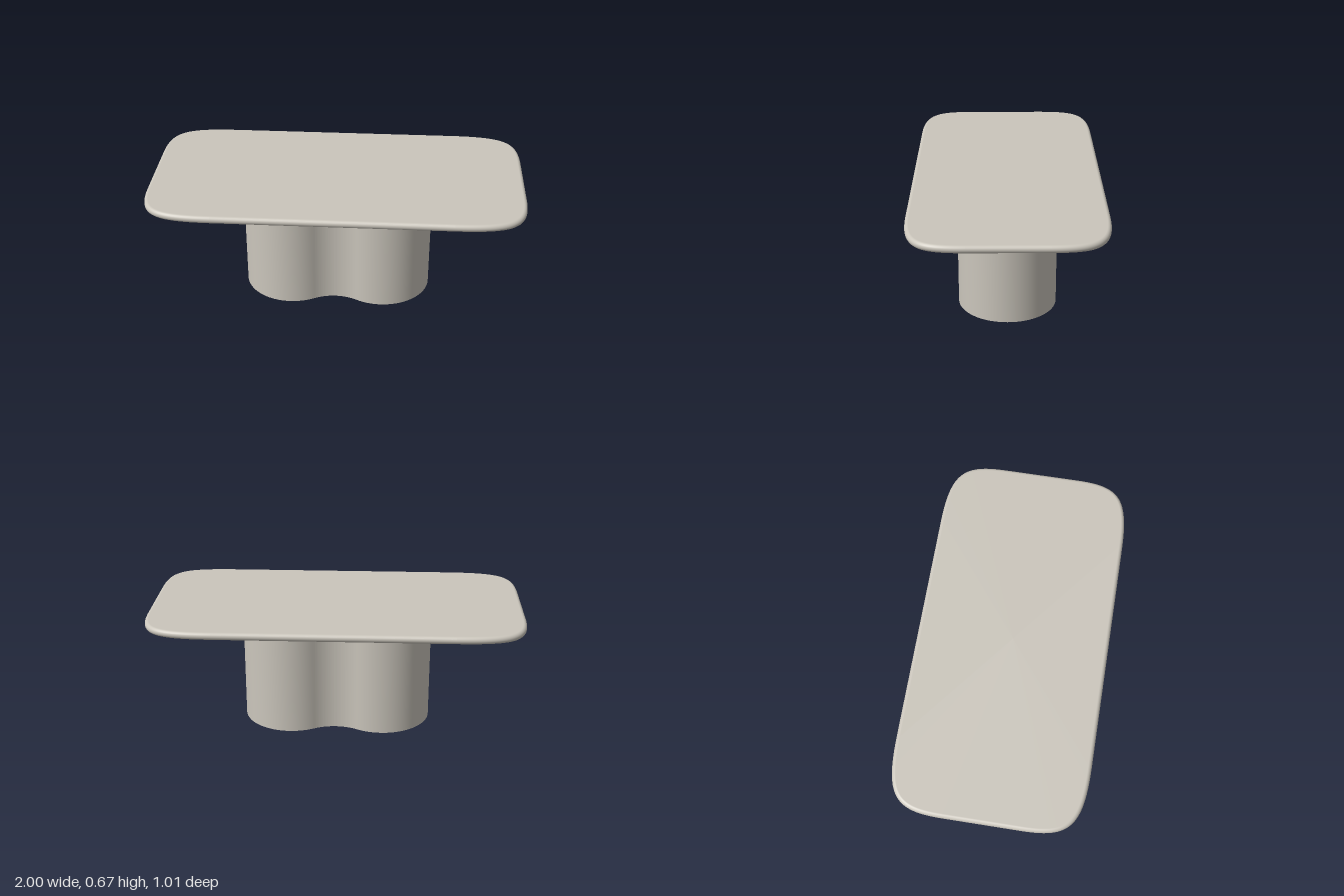
import * as THREE from 'three';
import { toCreasedNormals } from 'three/addons/utils/BufferGeometryUtils.js';

const stone = new THREE.MeshStandardMaterial({ color: 0xcbc6bc });
stone.name = 'warm grey stone';

// Soft rectangle: straight sides joined by long, easing corners
function topOutline() {
  const X = 1, Z = 0.505, x0 = 0.62, z0 = 0.2;
  const corner = new THREE.CubicBezierCurve(
    new THREE.Vector2(X, z0), new THREE.Vector2(X, 0.44),
    new THREE.Vector2(0.94, Z), new THREE.Vector2(x0, Z)).getPoints(28);
  const flip = (sx, sz) => corner.map(p => new THREE.Vector2(p.x * sx, p.y * sz));
  return [...corner, ...flip(-1, 1).reverse(), ...flip(-1, -1), ...flip(1, -1).reverse()];
}

// Slab with a half-round rim, swept round the outline, and flat faces
function slabGeometry(outline, y, r, steps = 10) {
  const n = outline.length, pos = [], nor = [], idx = [];
  const normals = outline.map((p, i) => {
    const t = outline[(i + 1) % n].clone().sub(outline[(i + n - 1) % n]).normalize();
    return new THREE.Vector2(t.y, -t.x);
  });
  for (let j = 0; j <= steps; j++) {
    const a = -Math.PI / 2 + Math.PI * j / steps, c = Math.cos(a), s = Math.sin(a);
    outline.forEach((p, i) => {
      const m = normals[i], d = r * (c - 1);
      pos.push(p.x + m.x * d, y + r * s, p.y + m.y * d);
      nor.push(m.x * c, s, m.y * c);
    });
  }
  for (let j = 0; j < steps; j++) for (let i = 0; i < n; i++) {
    const a = j * n + i, b = j * n + (i + 1) % n;
    idx.push(a, a + n, b, b, a + n, b + n);
  }
  // Flat lower and upper faces as fans around a centre point
  for (const [ring, s] of [[0, -1], [steps, 1]]) {
    const centre = pos.length / 3;
    pos.push(0, y + r * s, 0);
    nor.push(0, s, 0);
    for (let i = 0; i < n; i++) {
      const a = ring * n + i, b = ring * n + (i + 1) % n;
      if (s > 0) idx.push(centre, b, a); else idx.push(centre, a, b);
    }
  }
  const g = new THREE.BufferGeometry();
  g.setAttribute('position', new THREE.Float32BufferAttribute(pos, 3));
  g.setAttribute('normal', new THREE.Float32BufferAttribute(nor, 3));
  g.setIndex(idx);
  return g;
}

// Two round lobes joined by tangent hollow arcs
function pedestalShape() {
  const c = 0.25, r = 0.265, waist = 0.198;
  const k = r - waist, h = (c * c - k * k) / (2 * k), R = h - waist;
  const t = Math.atan2(h, c);
  const shape = new THREE.Shape();
  shape.absarc(c, 0, r, -(Math.PI - t), Math.PI - t, false);
  shape.absarc(0, h, R, -t, -(Math.PI - t), true);
  shape.absarc(-c, 0, r, t, 2 * Math.PI - t, false);
  shape.absarc(0, -h, R, Math.PI - t, t, true);
  return shape;
}

export function createModel() {
  const table = new THREE.Group();
  table.name = 'table';

  const top = new THREE.Mesh(slabGeometry(topOutline(), 0.65, 0.02), stone);
  top.name = 'tabletop';

  const body = new THREE.ExtrudeGeometry(pedestalShape(),
    { depth: 0.632, bevelEnabled: false, curveSegments: 32 });
  body.rotateX(-Math.PI / 2);
  const pedestal = new THREE.Mesh(toCreasedNormals(body, 0.6), stone);
  pedestal.name = 'pedestal';

  table.add(top, pedestal);
  return table;
}
